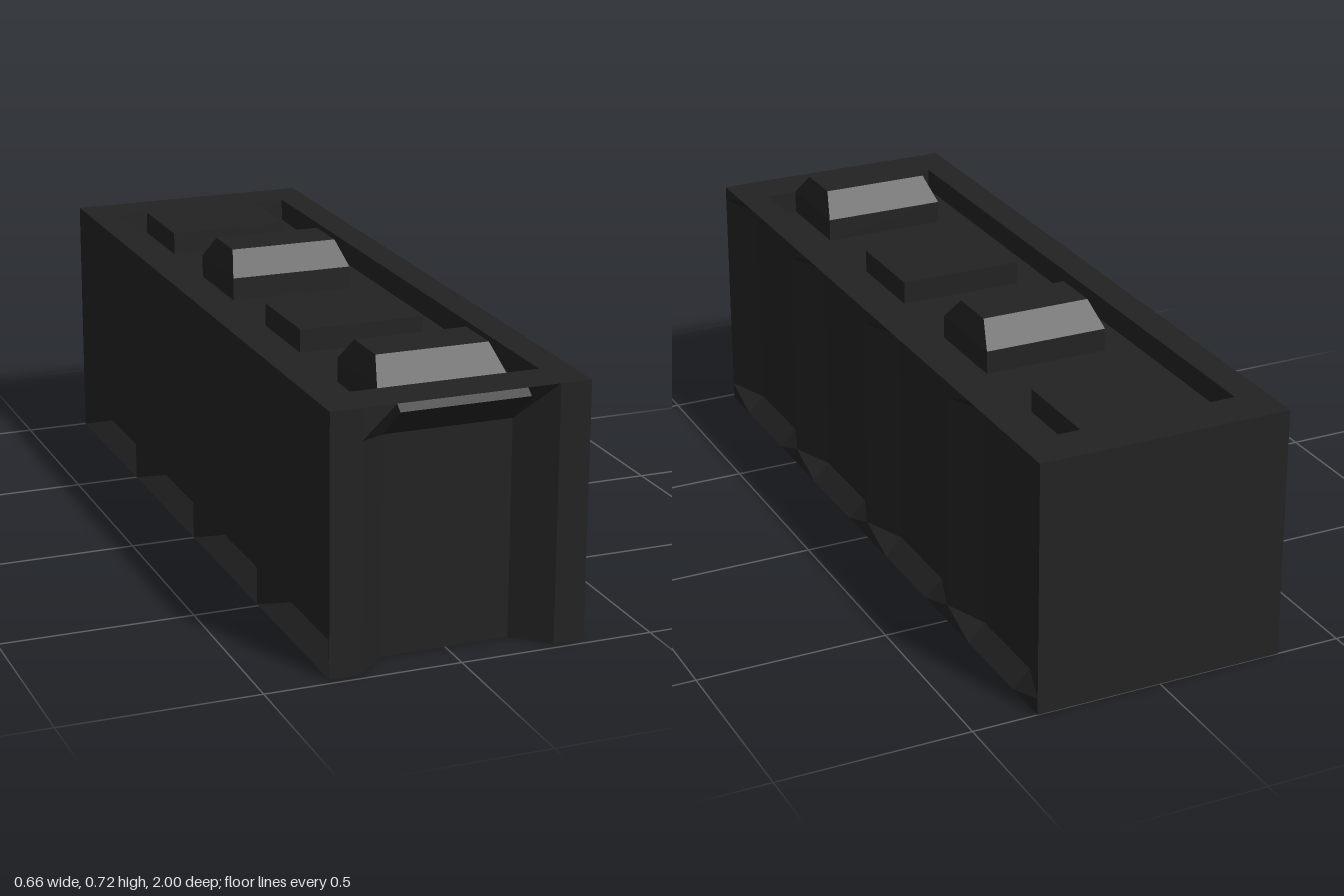
import * as THREE from 'three';

const W = 0.33, H = 0.66, FRONT = 0.98, BACK = -1, FLOOR = 0.6, IN = 0.165, RIM = 0.25;

const charcoal = new THREE.MeshStandardMaterial({ color: 0x222222 });
charcoal.name = 'charcoal';

function mesh(name, geometry) {
  const m = new THREE.Mesh(geometry, charcoal);
  m.name = name;
  return m;
}

// Flat-shaded mesh from convex polygons listed counter-clockwise
function faces(name, polygons) {
  const pos = [];
  for (const p of polygons)
    for (let i = 1; i < p.length - 1; i++) pos.push(...p[0], ...p[i], ...p[i + 1]);
  const g = new THREE.BufferGeometry();
  g.setAttribute('position', new THREE.Float32BufferAttribute(pos, 3));
  g.computeVertexNormals();
  return mesh(name, g);
}

const mirror = (polys) => polys.map((p) => p.map(([x, y, z]) => [-x, y, z]).reverse());

// Horizontal plate from an outline of [x, z] points
function plate(name, outline, y, up, hole) {
  const s = up ? -1 : 1;
  const pts = (o) => o.map(([x, z]) => new THREE.Vector2(x, s * z));
  const shape = new THREE.Shape(pts(outline));
  if (hole) shape.holes.push(new THREE.Path(pts(hole)));
  const g = new THREE.ShapeGeometry(shape);
  g.rotateX(s * Math.PI / 2);
  g.translate(0, y, 0);
  return mesh(name, g);
}

// Corrugated long wall: pressed-in bays meeting at sharp ridges
function sideWall() {
  const stations = [[FRONT, 0]];
  for (const ridge of [0.98, 0.49, 0, -0.5]) {
    stations.push([ridge - 0.12, 0.045], [ridge - 0.37, 0.045], [ridge === -0.5 ? BACK : ridge - 0.49, 0]);
  }
  // keep ridge positions shared between neighbouring bays
  stations[9][0] = -0.5;
  const rows = [0, 0.045, 0.62, H];
  const at = (i, j) => {
    const [z, depth] = stations[i];
    return [W - (j === 1 || j === 2 ? depth : 0), rows[j], z];
  };
  const polys = [];
  for (let i = 0; i < stations.length - 1; i++) {
    for (let j = 0; j < 3; j++) {
      const q = [at(i, j), at(i + 1, j), at(i + 1, j + 1), at(i, j + 1)];
      const goingIn = stations[i][1] < stations[i + 1][1];
      if ((j === 0) === goingIn) q.push(q.shift());
      polys.push(q);
    }
  }
  return polys;
}

export function createModel() {
  const model = new THREE.Group();
  model.name = 'corrugatedBlock';

  // Long walls
  const wall = sideWall();
  model.add(faces('leftWall', wall), faces('rightWall', mirror(wall)));

  // Flat back
  model.add(faces('backWall', [[[W, 0, BACK], [-W, 0, BACK], [-W, H, BACK], [W, H, BACK]]]));

  // Front corner posts with slopes into the recessed panel
  const post = [
    [[RIM, 0, FRONT], [W, 0, FRONT], [W, H, FRONT], [RIM, H, FRONT]],
    [[IN, 0, 0.9], [RIM, 0, FRONT], [RIM, 0.58, FRONT], [IN, 0.56, 0.9]],
    [[IN, 0.56, 0.9], [RIM, 0.58, FRONT], [RIM, H, FRONT], [IN, H, FRONT]],
  ];
  model.add(faces('leftFrontPost', post), faces('rightFrontPost', mirror(post)));

  // Recessed front panel and the lip above it
  const strip = (y0, z0, y1, z1) => [[-IN, y0, z0], [IN, y0, z0], [IN, y1, z1], [-IN, y1, z1]];
  model.add(faces('frontPanel', [strip(0, 0.9, 0.56, 0.9)]));
  const lipEnd = [[[IN, 0.56, 0.9], [IN, H, FRONT], [IN, 0.645, 1]]];
  model.add(faces('frontLip', [
    strip(0.56, 0.9, 0.645, 1), strip(0.645, 1, H, FRONT), ...lipEnd, ...mirror(lipEnd),
  ]));

  // Underside, notched at the front
  model.add(plate('base', [
    [-W, BACK], [W, BACK], [W, FRONT], [RIM, FRONT], [IN, 0.9], [-IN, 0.9], [-RIM, FRONT], [-W, FRONT],
  ], 0, false));

  // Top rim around a sunken U-shaped tray
  const tray = [
    [-RIM, 0.86], [RIM, 0.86], [RIM, -0.88], [IN, -0.88], [IN, -0.63], [-IN, -0.63], [-IN, -0.88], [-RIM, -0.88],
  ];
  model.add(plate('topRim', [[-W, BACK], [-W, FRONT], [W, FRONT], [W, BACK]], H, true, tray));
  model.add(plate('trayFloor', tray, FLOOR, true));
  model.add(faces('trayWalls', tray.map(([ax, az], i) => {
    const [bx, bz] = tray[(i + 1) % tray.length];
    return [[bx, FLOOR, bz], [ax, FLOOR, az], [ax, H, az], [bx, H, bz]];
  })));

  // Blocks in the tray, two of them with bevelled caps
  for (const [z, capped] of [[0.735, true], [0.235, false], [-0.26, true]]) {
    const block = mesh('topBlock', new THREE.BoxGeometry(2 * IN, H - FLOOR, 0.25));
    block.position.set(0, (H + FLOOR) / 2, z);
    model.add(block);
    if (!capped) continue;
    const g = new THREE.BoxGeometry(2 * IN, 0.062, 0.25);
    const p = g.attributes.position;
    for (let i = 0; i < p.count; i++) {
      if (p.getY(i) > 0) p.setXYZ(i, p.getX(i) * 0.88, p.getY(i), p.getZ(i) * 0.52);
    }
    g.computeVertexNormals();
    const cap = mesh('bevelledCap', g);
    cap.position.set(0, H + 0.031, z);
    model.add(cap);
  }
  return model;
}
